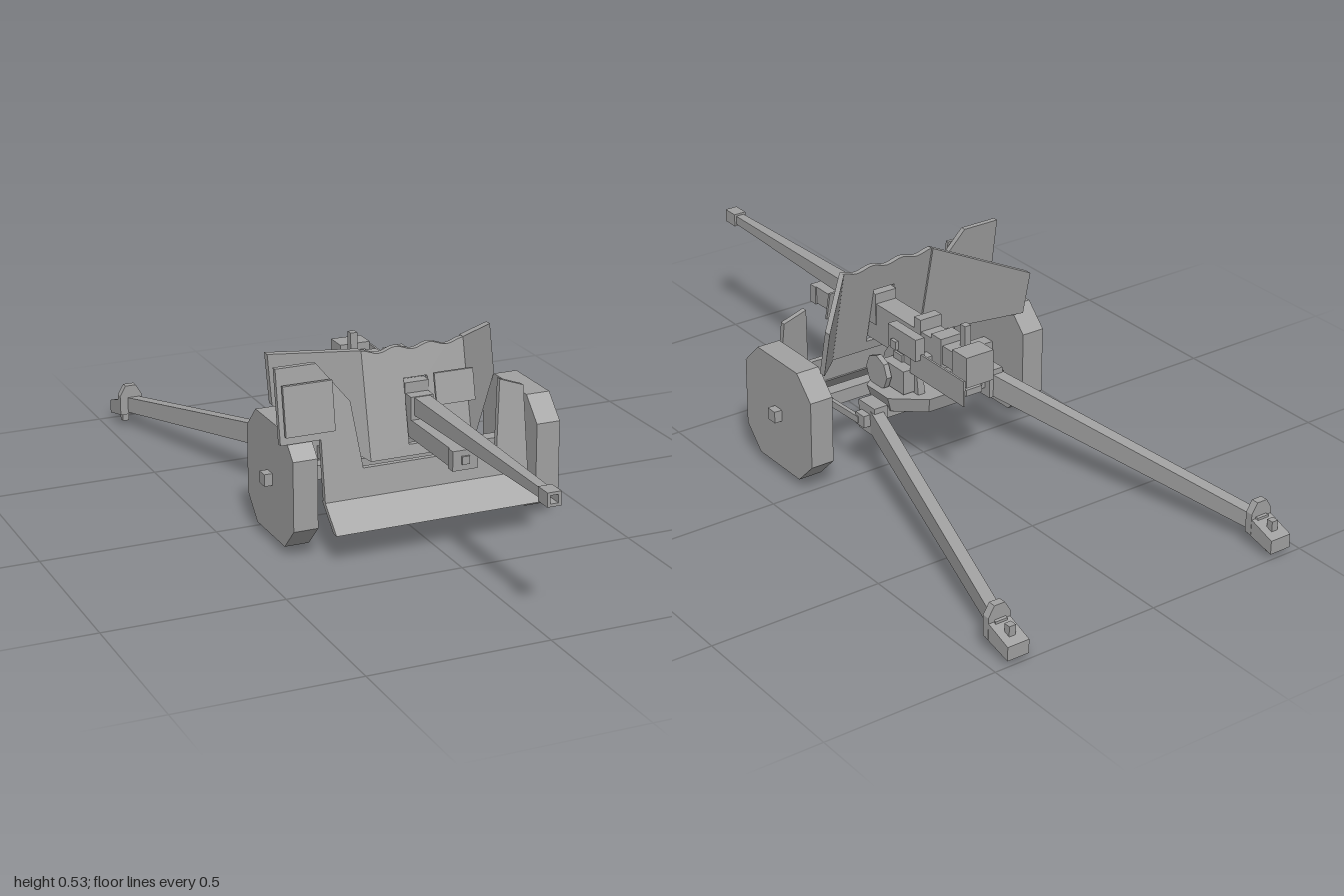
import * as THREE from 'three';

export function createModel() {
  const root = new THREE.Group();
  const grey = new THREE.MeshStandardMaterial({ color: 0xa0a0a0 });
  grey.name = 'paintedGrey';
  grey.flatShading = true;

  const add = (name, geo, x = 0, y = 0, z = 0) => {
    const m = new THREE.Mesh(geo, grey);
    m.name = name;
    m.position.set(x, y, z);
    root.add(m);
    return m;
  };
  // Box given by its limits on each axis
  const box = (name, x0, x1, y0, y1, z0, z1) =>
    add(name, new THREE.BoxGeometry(x1 - x0, y1 - y0, z1 - z0),
      (x0 + x1) / 2, (y0 + y1) / 2, (z0 + z1) / 2);
  const outline = (pts, Kind = THREE.Shape) =>
    new Kind(pts.map(p => new THREE.Vector2(p[0], p[1])));
  // Flat outline in x-y, sheared so its front face follows z = f(x, y)
  const plate = (name, pts, thick, f, hole) => {
    const shape = outline(pts);
    if (hole) shape.holes.push(outline(hole, THREE.Path));
    const geo = new THREE.ExtrudeGeometry(shape, { depth: thick, bevelEnabled: false });
    const p = geo.attributes.position;
    for (let i = 0; i < p.count; i++) {
      p.setZ(i, p.getZ(i) - thick + f(p.getX(i), p.getY(i)));
    }
    geo.computeVertexNormals();
    return add(name, geo);
  };
  // Square-section beam between two points, each end with its own width and height
  const beam = (name, a, b, w0, h0, w1, h1) => {
    const geo = new THREE.BoxGeometry(1, 1, 1);
    const p = geo.attributes.position;
    for (let i = 0; i < p.count; i++) {
      const t = 0.5 - p.getZ(i);
      const mix = (u, v) => u + (v - u) * t;
      p.setXYZ(i, mix(a[0], b[0]) + p.getX(i) * mix(w0, w1),
        mix(a[1], b[1]) + p.getY(i) * mix(h0, h1), mix(a[2], b[2]));
    }
    geo.computeVertexNormals();
    return add(name, geo);
  };

  // Main shield: wavy centre with a gun opening, wings swept back
  const shieldZ = (x, y) => 0.25 - 0.22 * (y - 0.235);
  const wave = [];
  for (let i = 0; i <= 24; i++) {
    const x = 0.15 - i * 0.0125;
    wave.push([x, 0.52 + 0.006 * Math.cos((x / 0.1) * Math.PI * 2 - Math.PI)]);
  }
  plate('shieldCentre', [[-0.15, 0.235], [0.15, 0.235], ...wave], 0.016, shieldZ,
    [[-0.035, 0.265], [-0.035, 0.44], [0.035, 0.44], [0.035, 0.265]]);
  for (const s of [1, -1]) {
    plate('shieldWing', [[0.15, 0.235], [0.335, 0.345], [0.335, 0.48], [0.15, 0.527]]
      .map(([x, y]) => [x * s, y]), 0.022,
    (x, y) => shieldZ(x, y) - (Math.abs(x) - 0.15) * 1.17);
  }
  plate('sightFlap', [[0.045, 0.365], [0.16, 0.365], [0.16, 0.45], [0.045, 0.45]], 0.008,
    (x, y) => shieldZ(x, y) + 0.025);

  // Lower shield with one short and one tall side, and its folded skirt
  const apronZ = (x, y) => 0.29 - 0.15 * (y - 0.155);
  plate('lowerShield', [[-0.3, 0.155], [0.3, 0.155], [0.3, 0.39], [0.23, 0.415], [0.21, 0.233],
    [-0.185, 0.233], [-0.21, 0.415], [-0.3, 0.527], [-0.415, 0.527], [-0.415, 0.325], [-0.3, 0.325]],
  0.016, apronZ);
  plate('sidePanel', [[-0.405, 0.35], [-0.265, 0.35], [-0.265, 0.485], [-0.405, 0.485]], 0.01,
    (x, y) => apronZ(x, y) + 0.02);
  plate('shieldSkirt', [[-0.3, 0.088], [0.3, 0.088], [0.3, 0.155], [-0.3, 0.155]], 0.022,
    (x, y) => 0.29 + (0.155 - y) * 1.1);

  // Wheels, hubs, axle
  const r = 0.163, c = 0.098;
  const wheelPts = [[r, c], [c, r], [-c, r], [-r, c], [-r, -c], [-c, -r], [c, -r], [r, -c]];
  for (const s of [1, -1]) {
    const geo = new THREE.ExtrudeGeometry(outline(wheelPts), { depth: 0.07, bevelEnabled: false });
    geo.translate(0, 0, -0.035).rotateY(Math.PI / 2);
    add('wheel', geo, s * 0.358, 0.188, 0.132);
    add('hub', new THREE.BoxGeometry(0.1, 0.034, 0.034), s * 0.366, 0.188, 0.132);
  }
  box('axle', -0.33, 0.33, 0.168, 0.208, 0.112, 0.152);

  // Split trails with pivots, lugs and ground spades
  for (const s of [1, -1]) {
    beam('trail', [s * 0.195, 0.19, -0.04], [s * 0.43, 0.065, -0.93], 0.036, 0.068, 0.036, 0.046);
    box('trailPivot', s * 0.2 - 0.038, s * 0.2 + 0.038, 0.175, 0.21, -0.055, -0.015);
    box('pivotBracket', s * 0.195 - 0.022, s * 0.195 + 0.022, 0.15, 0.235, -0.075, 0);
    beam('stayRod', [s * 0.24, 0.188, 0.13], [s * 0.235, 0.19, -0.03], 0.012, 0.02, 0.012, 0.02);
    plate('trailLug', [[-0.034, 0.04], [0.034, 0.04], [0.034, 0.1], [0.016, 0.13],
      [-0.016, 0.13], [-0.034, 0.1]].map(([x, y]) => [x + s * 0.43, y]), 0.022, () => -0.9);
    beam('spade', [s * 0.43, 0.063, -0.91], [s * 0.43, 0.037, -1], 0.066, 0.05, 0.066, 0.04);
    box('spadePin', s * 0.43 - 0.01, s * 0.43 + 0.01, 0, 0.095, -0.975, -0.955);
  }

  // Turntable and saddle
  const base = new THREE.CylinderGeometry(0.165, 0.15, 0.045, 8);
  base.rotateY(Math.PI / 8).scale(1, 1, 0.8);
  add('turntable', base, 0, 0.213, 0.005);
  box('crossBeam', -0.2, 0.2, 0.17, 0.205, -0.035, 0.02);
  for (const s of [1, -1]) {
    const cheek = new THREE.ExtrudeGeometry(outline([[-0.08, 0.22], [0.1, 0.22], [0.085, 0.3],
      [0.04, 0.36], [-0.03, 0.36], [-0.07, 0.3]]), { depth: 0.022, bevelEnabled: false });
    cheek.translate(0, 0, -0.011).rotateY(-Math.PI / 2);
    add('saddleCheek', cheek, s * 0.062, 0, 0);
  }
  box('trunnion', -0.08, 0.08, 0.3, 0.33, -0.01, 0.03);

  // Cradle and jacket
  box('cradle', -0.032, 0.032, 0.284, 0.335, -0.12, 0.49);
  box('cradleCap', -0.036, 0.036, 0.28, 0.335, 0.485, 0.512);
  box('capBolt', -0.011, 0.011, 0.297, 0.319, 0.51, 0.518);
  box('jacket', -0.033, 0.033, 0.335, 0.4, -0.13, 0.25);
  box('jacketCollar', -0.035, 0.035, 0.335, 0.43, 0.18, 0.215);

  // Tapered barrel with hollow square muzzle
  beam('barrel', [0, 0.373, 0.952], [0, 0.373, 0.2], 0.026, 0.026, 0.048, 0.052);
  const sq = h => [[-h, -h], [h, -h], [h, h], [-h, h]];
  const ring = outline(sq(0.019));
  ring.holes.push(outline(sq(0.011).reverse(), THREE.Path));
  add('muzzle', new THREE.ExtrudeGeometry(ring, { depth: 0.05, bevelEnabled: false }), 0, 0.373, 0.95);

  // Breech and recoil gear
  box('breechRing', -0.035, 0.035, 0.325, 0.415, -0.13, -0.085);
  box('breechNeck', -0.03, 0.03, 0.34, 0.395, -0.2, -0.13);
  box('breechBlock', -0.045, 0.045, 0.325, 0.415, -0.26, -0.195);
  box('recoilTray', -0.026, 0.026, 0.284, 0.303, -0.235, -0.11);
  box('breechLever', -0.03, -0.01, 0.39, 0.46, -0.178, -0.156);
  box('rearSight', -0.035, 0.035, 0.39, 0.435, -0.035, -0.005);

  // Gunner's guard, sight and laying gear
  box('gunnerGuard', 0.082, 0.088, 0.302, 0.377, -0.305, -0.06);
  box('guardArm', 0.03, 0.085, 0.325, 0.35, -0.09, -0.06);
  box('sightBracket', 0.03, 0.115, 0.365, 0.39, -0.03, -0.005);
  box('sight', 0.075, 0.105, 0.36, 0.425, -0.11, 0.02);
  box('gearBox', 0.06, 0.11, 0.24, 0.31, -0.06, 0.04);
  const hand = new THREE.CylinderGeometry(0.05, 0.05, 0.016, 8);
  hand.rotateZ(Math.PI / 2);
  add('handwheel', hand, 0.122, 0.275, 0.04);
  box('handwheelShaft', 0.09, 0.13, 0.267, 0.283, 0.03, 0.05);

  return root;
}
